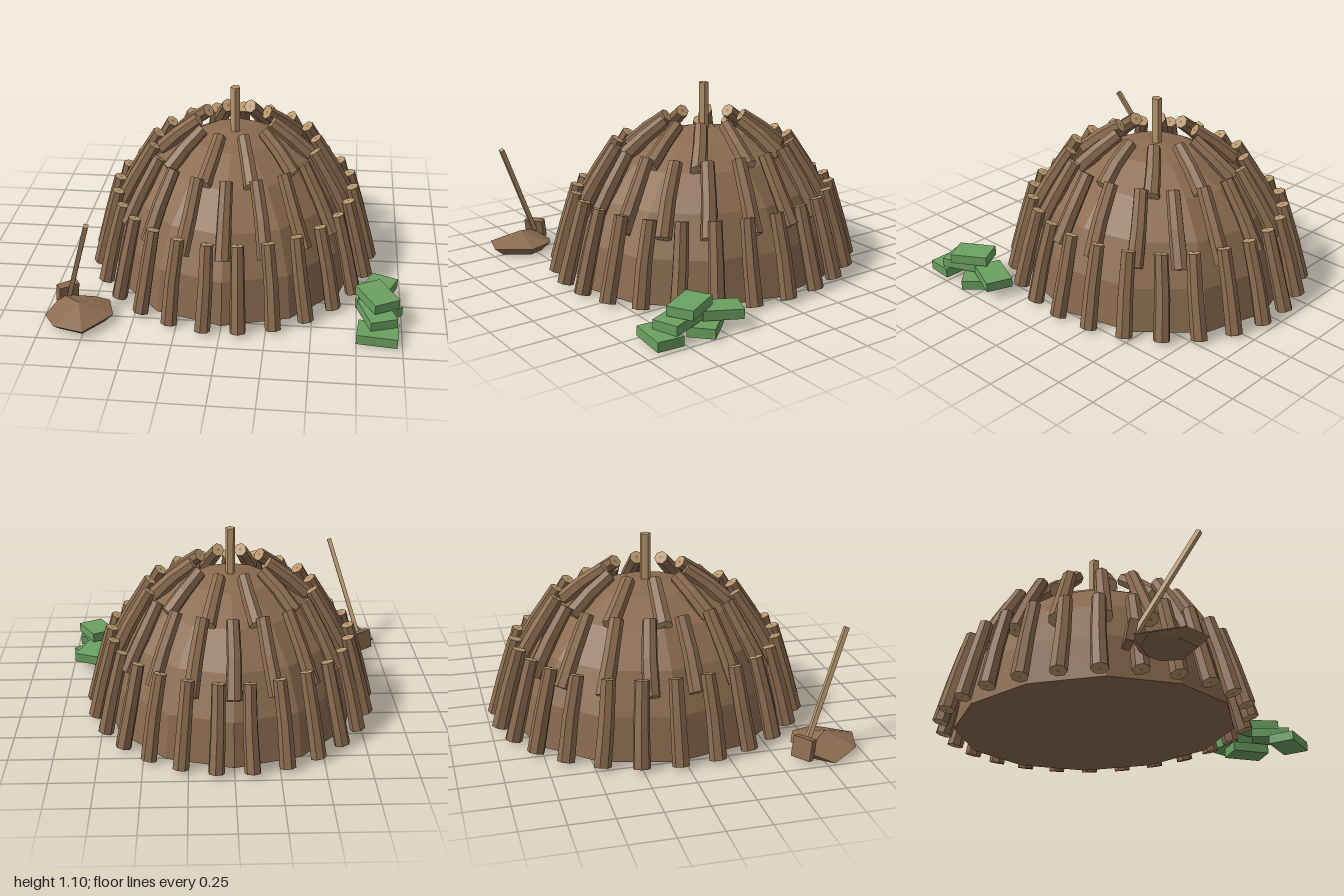
import * as THREE from 'three';
import { ConvexGeometry } from 'three/addons/geometries/ConvexGeometry.js';

const flat = (name, color) => {
  const m = new THREE.MeshStandardMaterial({ color, flatShading: true });
  m.name = name;
  return m;
};

const V = (x, y, z) => new THREE.Vector3(x, y, z);

export function createModel() {
  const bark = flat('bark brown', 0x8c6c50);
  const wood = flat('cut wood tan', 0xb8976c);
  const green = flat('block green', 0x6ba161);
  const model = new THREE.Group();
  model.name = 'logDome';

  const add = (parent, name, geometry, material) => {
    const mesh = new THREE.Mesh(geometry, material);
    mesh.name = name;
    parent.add(mesh);
    return mesh;
  };

  // Point a mesh's y axis from a to b and centre it between them
  const span = (object, a, b) => {
    object.position.copy(a).add(b).multiplyScalar(0.5);
    object.quaternion.setFromUnitVectors(V(0, 1, 0), b.clone().sub(a).normalize());
  };

  // Dome, slightly narrower across x
  const lodge = new THREE.Group();
  lodge.name = 'lodge';
  lodge.position.z = -0.04;
  lodge.scale.x = 0.905;
  model.add(lodge);

  const profile = [new THREE.Vector2(0, 0)];
  for (let i = 0; i <= 5; i++) {
    const a = (i / 5) * Math.PI / 2;
    profile.push(new THREE.Vector2(i === 5 ? 0 : 0.83 * Math.cos(a), 0.83 * Math.sin(a)));
  }
  add(lodge, 'dome', new THREE.LatheGeometry(profile, 12), bark);

  // One leaning log, with tan ends and a dark core; it bows outward a little
  const makeLog = (tier, angle, r0, y0, r1, y1, bow, side) => {
    const length = Math.hypot(r1 - r0, y1 - y0);
    const geometry = new THREE.CylinderGeometry(0.042, 0.051, length, 7, 2);
    const p = geometry.attributes.position;
    for (let i = 0; i < p.count; i++) {
      if (Math.abs(p.getY(i)) < 0.01 && Math.hypot(p.getX(i), p.getZ(i)) > 0.01) {
        p.setZ(i, p.getZ(i) + bow);
        p.setX(i, p.getX(i) + side);
      }
    }
    const arm = new THREE.Group();
    arm.name = tier;
    arm.rotation.y = angle;
    const log = add(arm, 'log', geometry, [bark, wood, wood]);
    span(log, V(0, y0, r0), V(0, y1, r1));
    for (const s of [1, -1]) {
      const core = add(log, 'logCore', new THREE.CircleGeometry(0.01, 6), bark);
      core.position.y = s * (length / 2 + 0.002);
      core.rotation.x = -s * Math.PI / 2;
    }
    lodge.add(arm);
  };

  // Three rings: name, count, first angle, foot radius and height, top radius and height, bow
  const tiers = [
    ['lowerLog', 26, Math.PI / 26, 0.91, 0.012, 0.775, 0.485, 0.004],
    ['middleLog', 18, 0, 0.76, 0.375, 0.53, 0.75, 0.006],
    ['upperLog', 10, Math.PI / 10, 0.49, 0.69, 0.24, 0.885, 0.008],
  ];
  for (const [name, count, start, r0, y0, r1, y1, bow] of tiers) {
    for (let i = 0; i < count; i++) {
      const side = 0.006 * Math.sin(i * 2.3);
      makeLog(name, start + (i / count) * Math.PI * 2, r0, y0, r1, y1, bow, side);
    }
  }

  // Centre post
  const post = add(lodge, 'centrePost', new THREE.CylinderGeometry(0.032, 0.032, 0.32, 5), wood);
  post.position.y = 0.94;

  // Faceted mound
  const mound = [V(-0.8, 0.115, 0.8)];
  const rim = [[-1, 0.79], [-0.93, 0.65], [-0.75, 0.62], [-0.65, 0.67],
    [-0.605, 0.81], [-0.74, 1], [-0.91, 0.95]];
  rim.forEach(([x, z], i) => {
    const y = [0.01, 0.06, 0.04, 0.055, 0.05, 0.05, 0.045][i];
    mound.push(V(x, y, z));
    mound.push(V(-0.8 + (x + 0.8) * 0.75, 0, 0.8 + (z - 0.8) * 0.7));
  });
  add(model, 'mound', new ConvexGeometry(mound), bark);

  // Long-handled tool resting in the mound
  const foot = V(-0.885, 0.07, 0.655), tip = V(-0.692, 0.685, 0.945);
  const handle = add(model, 'toolHandle',
    new THREE.BoxGeometry(0.026, foot.distanceTo(tip), 0.026), wood);
  span(handle, foot, tip);
  const head = add(model, 'toolHead', new THREE.BoxGeometry(0.12, 0.12, 0.045), bark);
  head.position.set(-0.9, 0.075, 0.64);
  head.rotation.set(0.2, 0.65, 0, 'YXZ');

  // Loose stack of green blocks: x, y, z, turn, tilt
  const blocks = [
    [0.865, 0.038, 0.84, 1.5, 0.03],
    [0.875, 0.033, 0.565, 0.75, 0],
    [0.86, 0.097, 0.73, 0.35, 0.04],
    [0.87, 0.092, 0.465, -0.38, -0.04],
    [0.86, 0.16, 0.655, 0.5, 0.03],
  ];
  for (const [x, y, z, turn, tilt] of blocks) {
    const block = add(model, 'greenBlock', new THREE.BoxGeometry(0.155, 0.056, 0.225), green);
    block.position.set(x, y, z);
    block.rotation.set(tilt, turn, 0, 'YXZ');
  }

  return model;
}
